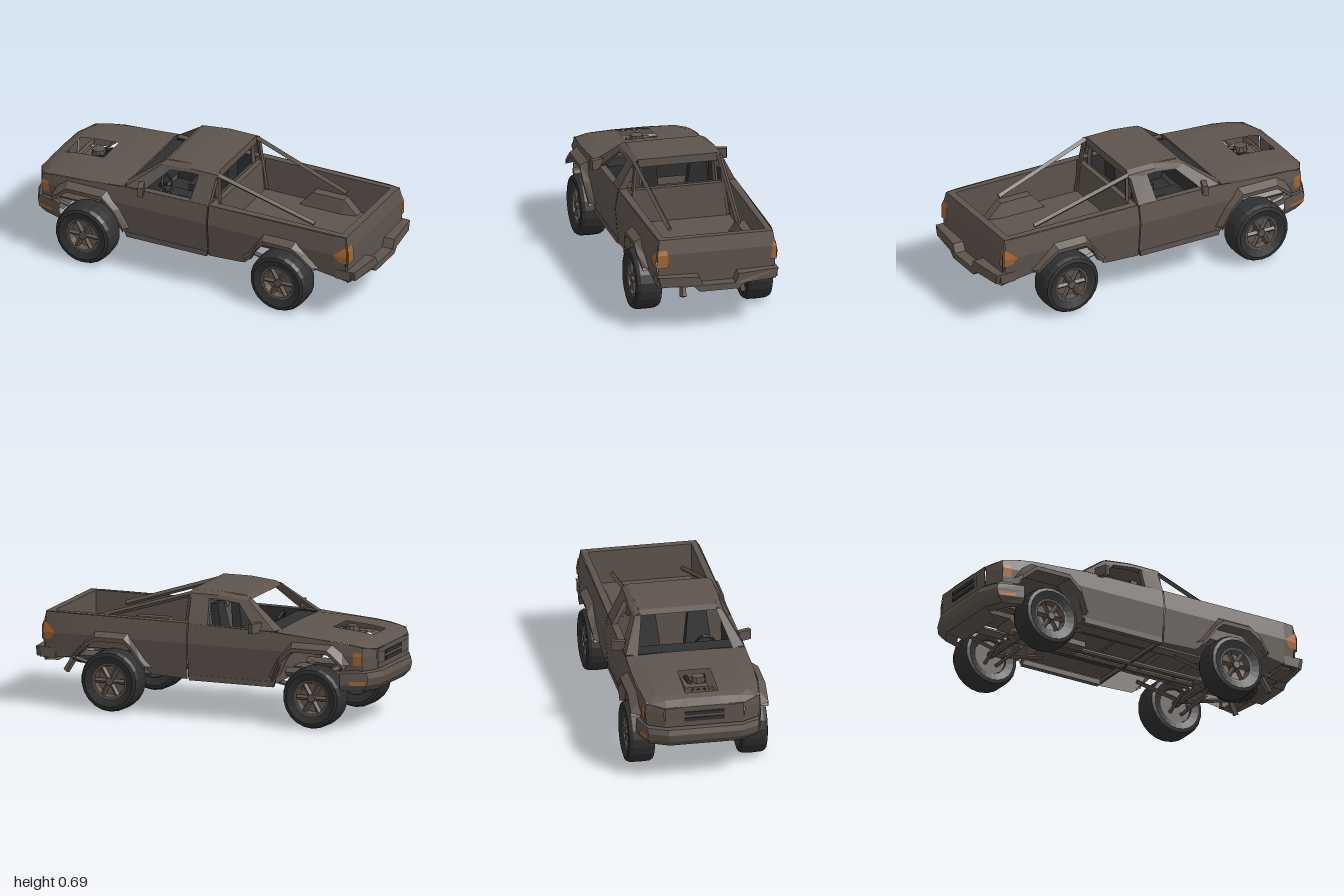
import * as THREE from 'three';

const paint = (name, color) => Object.assign(new THREE.MeshStandardMaterial({ color, side: THREE.DoubleSide }), { name });
const V = (p) => new THREE.Vector3(...p);
const lerp = THREE.MathUtils.lerp;

export function createModel() {
  const body = paint('brown paint', 0x5e544d);
  const dark = paint('black rubber', 0x303030);
  const amber = paint('amber lens', 0xa5642f);
  const model = new THREE.Group();
  model.name = 'pickupTruck';

  // Faceted mesh helper
  function add(name, geo, mat = body, pos = [0, 0, 0], parent = model) {
    const g = geo.index ? geo.toNonIndexed() : geo;
    g.computeVertexNormals();
    const m = new THREE.Mesh(g, mat);
    m.name = name;
    m.position.set(...pos);
    parent.add(m);
    return m;
  }
  const box = (name, size, pos, mat, parent) => add(name, new THREE.BoxGeometry(...size), mat, pos, parent);

  // Skin stretched over equally long rows of points
  function sheet(name, rows, mat) {
    const n = rows[0].length, idx = [];
    for (let r = 0; r < rows.length - 1; r++) for (let i = 0; i < n - 1; i++) {
      const a = r * n + i, b = a + n;
      idx.push(a, b, a + 1, a + 1, b, b + 1);
    }
    const g = new THREE.BufferGeometry();
    g.setAttribute('position', new THREE.Float32BufferAttribute(rows.flat(2), 3));
    g.setIndex(idx);
    return add(name, g, mat);
  }

  // Square or round bar between two points
  function bar(name, a, b, w, mat, sides = 4, parent = model) {
    const A = V(a), B = V(b);
    const m = add(name, new THREE.CylinderGeometry(w, w, A.distanceTo(B), sides), mat, [0, 0, 0], parent);
    m.position.copy(A).add(B).multiplyScalar(0.5);
    m.quaternion.setFromUnitVectors(new THREE.Vector3(0, 1, 0), B.sub(A).normalize());
    return m;
  }

  // Half width of the bodywork
  function halfWidth(x, y) {
    const nose = x < -0.92 ? lerp(0.14, 0.028, (x + 0.98) / 0.06) : x < -0.75 ? lerp(0.028, 0, (x + 0.92) / 0.17) : 0;
    const tail = x > 0.85 ? (x - 0.85) * 0.12 : 0;
    const bulge = y > 0.41 ? (y - 0.41) * 0.16 : (0.41 - y) * 0.1;
    return 0.345 - bulge - nose - tail;
  }
  const onSide = (s) => ([x, y]) => [x, y, s * halfWidth(x, y)];

  // Side columns: x, top, bottom
  const frontSide = [[-0.97, 0.44, 0.33], [-0.92, 0.458, 0.33], [-0.83, 0.475, 0.33], [-0.79, 0.48, 0.38],
    [-0.74, 0.485, 0.42], [-0.53, 0.50, 0.42], [-0.46, 0.505, 0.36], [-0.41, 0.51, 0.215], [0.091, 0.517, 0.21]];
  const bedSide = [[0.096, 0.52, 0.21], [0.3, 0.52, 0.22], [0.36, 0.52, 0.26], [0.41, 0.52, 0.36], [0.45, 0.52, 0.40],
    [0.62, 0.52, 0.40], [0.68, 0.52, 0.36], [0.73, 0.52, 0.29], [0.86, 0.52, 0.27], [0.925, 0.52, 0.26]];
  const frontArch = [[-0.83, 0.35], [-0.79, 0.385], [-0.74, 0.425], [-0.53, 0.425], [-0.46, 0.36], [-0.41, 0.25]];
  const rearArch = [[0.33, 0.25], [0.36, 0.28], [0.41, 0.36], [0.45, 0.395], [0.62, 0.395], [0.68, 0.355], [0.74, 0.29]];

  for (const s of [1, -1]) {
    const on = onSide(s);
    const skin = (cols) => [0, 1, 2].map((r) => cols.map(([x, t, b]) => on([x, r === 0 ? t : r === 2 ? b : Math.max(0.41, b + 0.01)])));
    sheet('fenderAndDoor', skin(frontSide));
    sheet('bedSide', skin(bedSide));
    box('sill', [0.49, 0.03, 0.03], [-0.16, 0.22, s * 0.315]);

    // Wheel arch flares and liners
    for (const [arch, cx] of [[frontArch, -0.63], [rearArch, 0.535]]) {
      const grown = arch.map(([x, y]) => [cx + (x - cx) * 1.13, y + (y > 0.37 ? 0.04 : 0.01)]);
      sheet('wheelArchFlare', [
        grown.map(on),
        arch.map(([x, y]) => [x, y + 0.015, s * (y > 0.34 ? 0.38 : 0.362)]),
        arch.map(([x, y]) => [x, y - 0.008, s * (y > 0.34 ? 0.378 : 0.36)]),
        arch.map(([x, y]) => [x, y, s * 0.3]),
      ]);
      sheet('wheelLiner', [arch.map(([x, y]) => [x, y, s * 0.33]), arch.map(([x, y]) => [x, y, s * 0.24])]);
    }

    // Hood halves beside the engine opening, rounding down to the fender
    const hoodX = [[-0.975, 0.445], [-0.93, 0.475], [-0.89, 0.488], [-0.82, 0.5], [-0.66, 0.513], [-0.55, 0.517], [-0.42, 0.515]];
    const edge = [0.44, 0.455, 0.465, 0.478, 0.491, 0.499, 0.51];
    sheet('hood', [
      hoodX.map(([x, y]) => [x, y, s * 0.09]),
      hoodX.map(([x, y]) => [x, y - 0.005, s * (x < -0.95 ? 0.16 : x < -0.9 ? 0.21 : 0.25)]),
      hoodX.map(([x], i) => [x, edge[i], s * halfWidth(x, edge[i])]),
    ]);

    // Cab pillars and window frames
    const P = (x, y, z) => [x, y, s * z];
    sheet('windshieldPillar', [
      [P(-0.43, 0.512, 0.26), P(-0.23, 0.66, 0.205)], [P(-0.41, 0.512, 0.325), P(-0.225, 0.655, 0.24)],
      [P(-0.3, 0.512, 0.325), P(-0.17, 0.64, 0.25)], [P(-0.31, 0.512, 0.295), P(-0.18, 0.64, 0.225)]]);
    sheet('doorPillar', [
      [P(-0.02, 0.515, 0.3), P(0, 0.66, 0.22)], [P(-0.02, 0.515, 0.327), P(0, 0.66, 0.25)],
      [P(0.095, 0.515, 0.327), P(0.105, 0.665, 0.25)], [P(0.095, 0.515, 0.285), P(0.105, 0.665, 0.205)]]);
    sheet('roofEdge', [
      [P(-0.225, 0.668, 0.21), P(-0.05, 0.688, 0.22), P(0.11, 0.687, 0.22)],
      [P(-0.23, 0.652, 0.243), P(-0.05, 0.67, 0.248), P(0.115, 0.67, 0.248)],
      [P(-0.18, 0.635, 0.255), P(-0.05, 0.65, 0.256), P(0.11, 0.645, 0.258)],
      [P(-0.18, 0.635, 0.215), P(-0.05, 0.65, 0.215), P(0.11, 0.645, 0.215)]]);
    bar('rearWindowPost', P(0.09, 0.515, 0.215), P(0.09, 0.66, 0.205), 0.015);
    sheet('doorTopLedge', [[P(-0.41, 0.511, 0.33), P(0.09, 0.517, 0.328)], [P(-0.41, 0.511, 0.29), P(0.09, 0.515, 0.29)]]);
    sheet('doorLining', [[P(-0.41, 0.51, 0.29), P(0.085, 0.515, 0.29)], [P(-0.41, 0.25, 0.3), P(0.085, 0.25, 0.3)]], dark);
    bar('bedBrace', P(0.105, 0.664, 0.235), P(0.67, 0.485, 0.193), 0.015);
    bar('hoopLeg', P(0.115, 0.655, 0.235), P(0.14, 0.34, 0.275), 0.012);

    // Mirrors
    const mirror = box('mirror', [0.03, 0.055, 0.075], P(-0.305, 0.527, 0.345));
    mirror.rotation.y = s * 0.35;
    bar('mirrorArm', P(-0.33, 0.51, 0.31), P(-0.31, 0.515, 0.33), 0.012);

    // Bed rail, inner wall and sloping wheel boxes
    sheet('bedRailAndWall', [
      [P(0.1, 0.52, 0.327), P(0.925, 0.52, 0.318)], [P(0.1, 0.522, 0.285), P(0.925, 0.522, 0.285)],
      [P(0.1, 0.33, 0.285), P(0.925, 0.33, 0.285)]]);
    const wheelBox = [[0.37, 0.33], [0.44, 0.41], [0.63, 0.41], [0.71, 0.33]];
    sheet('bedWheelBox', [wheelBox.map(([x, y]) => P(x, y, 0.285)), wheelBox.map(([x, y]) => P(x, y, 0.235)),
      wheelBox.map(([x]) => P(x, 0.33, 0.215))]);

    // Seats
    const seat = new THREE.Group();
    seat.name = 'seat';
    seat.position.set(-0.08, 0, s * 0.14);
    model.add(seat);
    box('seatCushion', [0.19, 0.08, 0.15], [-0.05, 0.34, 0], dark, seat);
    const back = new THREE.CylinderGeometry(0.06, 0.1, 0.25, 4);
    back.rotateY(Math.PI / 4).scale(0.45, 1, 1.05);
    add('seatBack', back, dark, [0.06, 0.485, 0], seat).rotation.z = -0.15;

    // Corner lamps and bumper indicators
    const lamp = (pts) => pts.map((row) => row.map(([x, y]) => [x, y, s * (halfWidth(x, y) + 0.005)]));
    sheet('frontCornerLamp', lamp([[[-0.92, 0.43], [-0.875, 0.43]], [[-0.92, 0.41], [-0.873, 0.41]], [[-0.92, 0.358], [-0.872, 0.362]]]), amber);
    sheet('rearSideLamp', lamp([[[0.925, 0.465], [0.936, 0.465]], [[0.86, 0.41], [0.938, 0.41]], [[0.89, 0.375], [0.938, 0.365]]]), amber);
    const [top, inner] = s > 0 ? [0.28, 0.268] : [0.318, 0.3];
    sheet('tailLamp', [[P(0.938, 0.465, top), P(0.938, 0.465, 0.328)], [P(0.946, 0.44, (top + inner) / 2), P(0.946, 0.44, 0.332)],
      [P(0.946, 0.37, inner), P(0.946, 0.365, 0.332)]], amber);
    sheet('bumperIndicator', [[P(-0.945, 0.274, 0.309), P(-0.845, 0.272, 0.3375)], [P(-0.94, 0.252, 0.309), P(-0.855, 0.25, 0.3345)]], amber);
    sheet('headlamp', [[P(-0.976, 0.42, 0.13), P(-0.975, 0.422, 0.212)], [P(-0.976, 0.355, 0.13), P(-0.975, 0.36, 0.212)]]);
    box('rearBumperEnd', [0.09, 0.055, 0.03], P(0.91, 0.295, 0.32));

    // Frame rails, springs and control arms
    bar('frameRail', P(-0.9, 0.26, 0.15), P(0.92, 0.26, 0.15), 0.025);
    bar('frontSpring', P(-0.88, 0.25, 0.2), P(-0.645, 0.19, 0.2), 0.012);
    bar('frontSpring', P(-0.645, 0.16, 0.2), P(-0.35, 0.22, 0.2), 0.014);
    bar('rearSpring', P(0.25, 0.22, 0.19), P(0.535, 0.17, 0.19), 0.014);
    bar('rearSpring', P(0.535, 0.17, 0.19), P(0.82, 0.25, 0.19), 0.012);
    for (const x of [-0.645, 0.535]) {
      for (const d of [-0.07, 0.07]) bar('lowerArm', P(x + d * 0.5, 0.125, 0.25), P(x + d, 0.17, 0.05), 0.012);
      bar('upperArm', P(x + 0.04, 0.2, 0.25), P(x, 0.22, 0.1), 0.012);
      bar('shockAbsorber', P(x + 0.06, 0.15, 0.21), P(x + 0.03, 0.31, 0.19), 0.016, body, 6);
    }
    bar('towHook', P(0.82, 0.25, 0.16), P(0.87, 0.165, 0.17), 0.018);
  }

  // Centre hood strips, nose and grille
  const strip = (name, pts, z, mat) => sheet(name, pts.map(([x, y, w = z]) => [[x, y, -w], [x, y, w]]), mat);
  strip('hoodFront', [[-0.975, 0.445], [-0.93, 0.475], [-0.89, 0.488]], 0.09);
  strip('hoodRear', [[-0.66, 0.513], [-0.55, 0.517], [-0.42, 0.515]], 0.09);
  strip('nose', [[-0.972, 0.445], [-0.972, 0.33]], 0.218);
  for (const y of [0.37, 0.405]) box('grilleSlot', [0.008, 0.02, 0.22], [-0.974, y, 0], dark);
  strip('firewall', [[-0.42, 0.515], [-0.41, 0.22]], 0.31);

  // Engine seen through the hood
  box('engineBlock', [0.13, 0.05, 0.13], [-0.735, 0.45, -0.01]);
  for (const z of [-0.05, 0, 0.05]) bar('intakePipe', [-0.8, 0.455, z * 0.6], [-0.68, 0.487, z], 0.012, dark, 6);
  add('airCleaner', new THREE.CylinderGeometry(0.035, 0.04, 0.03, 10), body, [-0.73, 0.495, 0.01]);
  bar('engineBrace', [-0.85, 0.45, -0.14], [-0.85, 0.45, 0.14], 0.012);

  // Roof, rear wall and cabin
  strip('roof', [[-0.235, 0.657, 0.21], [-0.2, 0.675, 0.212], [-0.05, 0.688, 0.22], [0.11, 0.687, 0.22]], 0.22);
  strip('headliner', [[-0.22, 0.65], [-0.05, 0.66], [0.1, 0.655]], 0.215);
  box('rearRoofBeam', [0.025, 0.045, 0.44], [0.095, 0.663, 0]);
  strip('cabRearWall', [[0.088, 0.525, 0.32], [0.088, 0.21, 0.31]], 0.32);
  box('bodySeam', [0.014, 0.29, 0.62], [0.093, 0.362, 0]);
  box('cabFloor', [0.5, 0.015, 0.61], [-0.16, 0.248, 0]);
  strip('carpet', [[-0.405, 0.262], [0.08, 0.262]], 0.295, dark);
  box('dashboard', [0.12, 0.09, 0.56], [-0.36, 0.46, 0], dark);
  box('centreConsole', [0.28, 0.09, 0.09], [-0.2, 0.31, 0], dark);
  const wheelRim = add('steeringWheel', new THREE.TorusGeometry(0.05, 0.008, 5, 14), dark, [-0.25, 0.475, 0.14]);
  wheelRim.rotation.set(0, Math.PI / 2, 0.4, 'ZYX');
  bar('steeringColumn', [-0.34, 0.44, 0.14], [-0.25, 0.475, 0.14], 0.009, dark, 6);

  // Bed floor, ends and tailgate
  strip('bedFloor', [[0.1, 0.33], [0.925, 0.33]], 0.285);
  strip('bedFrontRail', [[0.1, 0.521], [0.13, 0.521], [0.13, 0.33]], 0.285);
  strip('tailgate', [[0.885, 0.33, 0.285], [0.885, 0.522, 0.285], [0.925, 0.522, 0.318], [0.94, 0.44, 0.33], [0.935, 0.25, 0.32], [0.86, 0.25, 0.3]], 0.3);

  // Stepped rear bumper, drawn in at its corners
  const step = new THREE.Shape([[-0.335, 0.325], [-0.11, 0.32], [-0.09, 0.27], [0.09, 0.27], [0.11, 0.32], [0.335, 0.325],
    [0.32, 0.27], [0.14, 0.265], [0.11, 0.235], [-0.11, 0.235], [-0.14, 0.265], [-0.32, 0.27]].map((p) => new THREE.Vector2(...p)));
  const bumper = new THREE.ExtrudeGeometry(step, { depth: 0.07, bevelEnabled: false }).rotateY(Math.PI / 2);
  const bp = bumper.attributes.position;
  for (let i = 0; i < bp.count; i++) if (bp.getX(i) > 0.03 && Math.abs(bp.getZ(i)) > 0.3) bp.setX(i, 0.05);
  add('rearBumper', bumper, body, [0.93, 0, 0]);

  // Front bumper wrapping the nose, with a sloping skid plate
  const ring = (x, y, k) => [[-0.8, y, -0.345 * k], [x + 0.05, y, -0.305 * k], [x, y, -0.2 * k], [x, y, 0.2 * k], [x + 0.05, y, 0.305 * k], [-0.8, y, 0.345 * k]];
  sheet('frontBumper', [ring(-0.93, 0.325, 0.95), ring(-0.99, 0.32, 1), ring(-1, 0.29, 1), ring(-0.99, 0.25, 1), ring(-0.96, 0.215, 0.95), ring(-0.9, 0.215, 0.85)]);
  strip('skidPlate', [[-0.96, 0.22, 0.2], [-0.87, 0.175, 0.16]], 0.16);

  // Drivetrain, crossmembers and spare wheel
  for (const x of [-0.9, -0.62, -0.45, -0.1, 0.2, 0.42, 0.68, 0.88]) bar('crossmember', [x, 0.25, -0.15], [x, 0.25, 0.15], 0.018);
  bar('driveshaft', [-0.62, 0.22, -0.02], [0.53, 0.22, 0], 0.016, body, 8);
  bar('exhaustPipe', [-0.4, 0.228, -0.09], [0.85, 0.24, -0.1], 0.014, body, 6);
  box('gearbox', [0.26, 0.06, 0.11], [-0.36, 0.24, 0]);
  for (const x of [-0.645, 0.535]) {
    bar('axle', [x, 0.18, -0.26], [x, 0.18, 0.26], 0.02, body, 8);
    add('differential', new THREE.IcosahedronGeometry(0.042, 1), body, [x, 0.2, 0]);
  }
  add('spareTyre', new THREE.TorusGeometry(0.088, 0.036, 6, 16).scale(1, 1, 0.8).rotateX(Math.PI / 2), dark, [0.77, 0.23, -0.02]);
  add('spareRim', new THREE.CylinderGeometry(0.056, 0.056, 0.02, 12), dark, [0.77, 0.23, -0.02]);

  // Wheels: chunky tyre, rim dish and six spokes
  const tyreProfile = [[0.098, -0.06], [0.14, -0.075], [0.158, -0.07], [0.168, -0.05], [0.17, 0], [0.168, 0.05],
    [0.158, 0.07], [0.14, 0.075], [0.098, 0.06], [0.095, 0.03]].map((p) => new THREE.Vector2(...p));
  const rimProfile = [[0.1, 0.06], [0.088, 0.058], [0.08, 0.02], [0.03, 0.015], [0, 0.015]].map((p) => new THREE.Vector2(...p));
  for (const x of [-0.645, 0.535]) for (const s of [1, -1]) {
    const wheel = new THREE.Group();
    wheel.name = 'wheel';
    wheel.position.set(x, 0.17, s * 0.31);
    wheel.rotation.y = s > 0 ? 0 : Math.PI;
    model.add(wheel);
    add('tyre', new THREE.LatheGeometry(tyreProfile, 22).rotateX(Math.PI / 2), dark, [0, 0, 0], wheel);
    add('rim', new THREE.LatheGeometry(rimProfile, 18).rotateX(Math.PI / 2), body, [0, 0, 0], wheel);
    add('innerDrum', new THREE.CylinderGeometry(0.096, 0.096, 0.05, 16).rotateX(Math.PI / 2), body, [0, 0, -0.03], wheel);
    add('hub', new THREE.CylinderGeometry(0.022, 0.03, 0.05, 8).rotateX(Math.PI / 2), body, [0, 0, 0.04], wheel);
    for (let i = 0; i < 6; i++) {
      const a = i * Math.PI / 3;
      bar('spoke', [0, 0, 0.045], [Math.cos(a) * 0.09, Math.sin(a) * 0.09, 0.045], 0.014, body, 4, wheel);
    }
  }
  return model;
}
